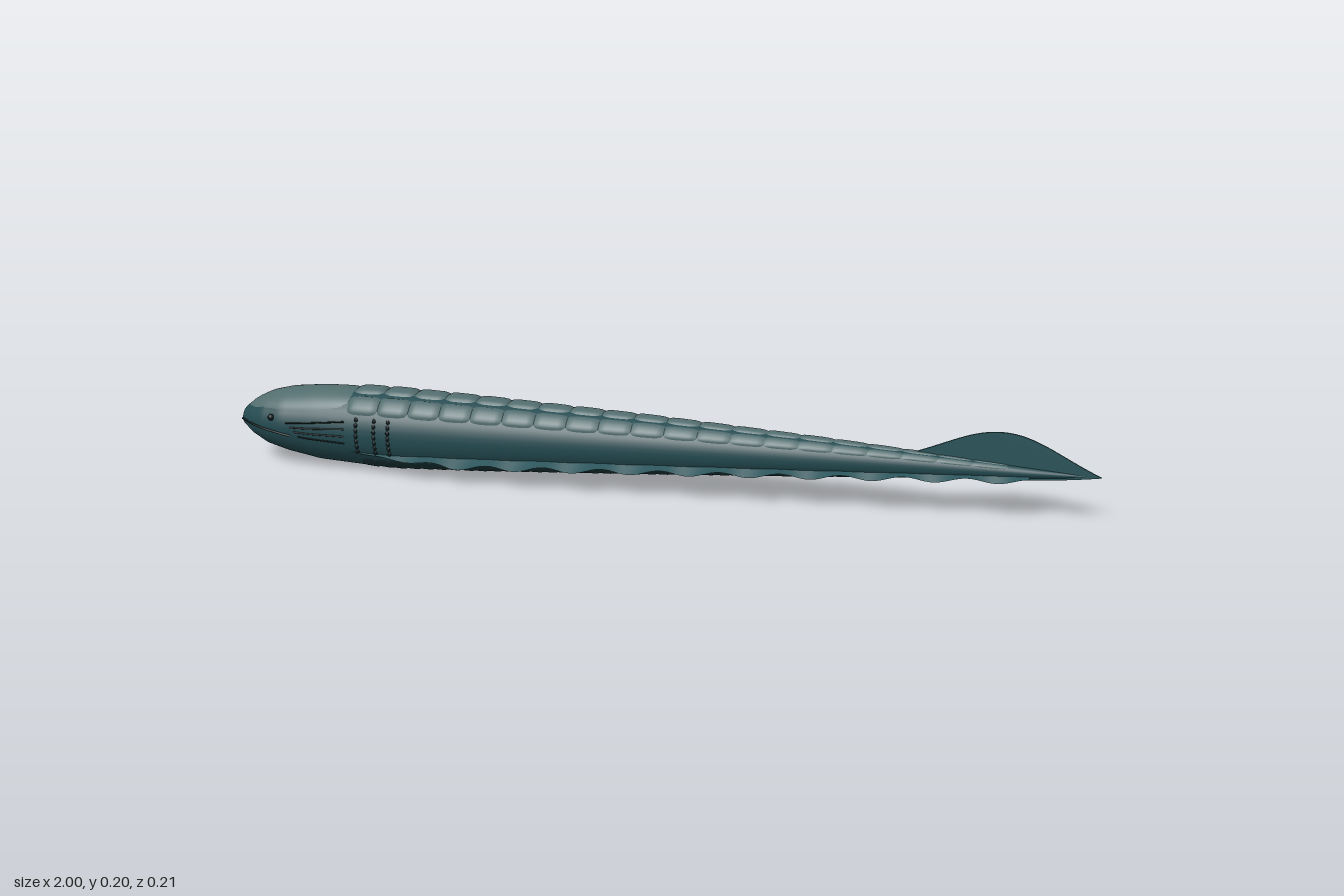
import * as THREE from 'three';

const mat = (color) => new THREE.MeshStandardMaterial({ color, side: THREE.DoubleSide });
const skin = mat(0x234a50), plateMat = mat(0x526c6e), finMat = mat(0x2a545a),
  bellyMat = mat(0x1c3538), dark = mat(0x0b181b);

// Body profile: x, top y, bottom y, half width
const profile = [
  [-1, 0.108, 0.104, 0.002], [-0.998, 0.13, 0.085, 0.033], [-0.97, 0.152, 0.062, 0.054],
  [-0.93, 0.17, 0.042, 0.073], [-0.88, 0.182, 0.029, 0.084], [-0.8, 0.19, 0.014, 0.087],
  [-0.68, 0.194, 0.008, 0.09], [-0.6, 0.194, 0.007, 0.091], [-0.4, 0.188, 0.016, 0.083],
  [0, 0.173, 0.04, 0.065], [0.4, 0.152, 0.066, 0.043], [0.6, 0.139, 0.08, 0.03],
  [0.85, 0.121, 0.097, 0.013], [0.97, 0.112, 0.108, 0.002],
];

function section(x) {
  let i = 0;
  while (i < profile.length - 2 && x > profile[i + 1][0]) i++;
  const a = profile[i], b = profile[i + 1];
  const t = THREE.MathUtils.clamp((x - a[0]) / (b[0] - a[0]), 0, 1);
  const [top, bottom, rz] = [1, 2, 3].map((k) => a[k] + (b[k] - a[k]) * t);
  return { yc: (top + bottom) / 2, ry: (top - bottom) / 2, rz };
}

// Point on the body; angle runs from the top (0) towards +z, scale pushes outwards
function onBody(x, angle, scale = 1, extra = 0) {
  const s = section(x);
  return new THREE.Vector3(x, s.yc + Math.cos(angle) * (s.ry * scale + extra),
    Math.sin(angle) * (s.rz * scale + extra));
}

// Grid surface from a rule (u, v) -> point
function grid(nu, nv, rule) {
  const pos = [], idx = [];
  for (let i = 0; i <= nu; i++) {
    for (let j = 0; j <= nv; j++) {
      pos.push(...rule(i / nu, j / nv).toArray());
      if (i < nu && j < nv) {
        const a = i * (nv + 1) + j, b = a + nv + 1;
        idx.push(a, a + 1, b, b, a + 1, b + 1);
      }
    }
  }
  const g = new THREE.BufferGeometry();
  g.setAttribute('position', new THREE.Float32BufferAttribute(pos, 3));
  g.setIndex(idx);
  g.computeVertexNormals();
  return g;
}

const lerp = THREE.MathUtils.lerp;
const rad = THREE.MathUtils.degToRad;

export function createModel() {
  const model = new THREE.Group();
  const add = (name, geometry, material, parent = model) => {
    const m = new THREE.Mesh(geometry, material);
    m.name = name;
    parent.add(m);
    return m;
  };
  const group = (name) => {
    const g = new THREE.Group();
    g.name = name;
    model.add(g);
    return g;
  };

  // Long tapering body, with finer steps at the snout
  add('body', grid(120, 40, (u, v) =>
    onBody(-1 + 1.97 * Math.pow(u, 1.5), Math.PI * (1 + 2 * v))), skin);

  // Smooth shield over the top of the head
  add('headShield', grid(24, 24, (u, v) => {
    const edge = (1 - Math.pow(Math.abs(2 * v - 1), 6)) * (1 - Math.pow(Math.abs(2 * u - 1), 8));
    const spread = rad(48 + 14 * Math.sin(Math.PI * u));
    return onBody(lerp(-0.985, -0.7, u), lerp(-spread, spread, v), 0.98 + 0.055 * edge);
  }), plateMat);

  // Three rows of domed back plates
  const plates = group('backPlates');
  const count = 20;
  for (const [centre, half] of [[0, 22], [42, 18], [-42, 18]]) {
    for (let i = 0; i < count; i++) {
      const x0 = lerp(-0.71, 0.8, i / count), x1 = x0 + 0.082;
      add('backPlate', grid(8, 10, (u, v) => {
        const across = 2 * v - 1;
        const narrow = 1 - 0.3 * Math.pow(Math.abs(2 * u - 1), 4);
        const dome = (1 - across ** 4) * (1 - Math.pow(Math.abs(2 * u - 1), 6));
        return onBody(lerp(x0, x1, u), rad(centre + half * narrow * across), 0.98 + 0.085 * dome);
      }), plateMat, plates);
    }
  }

  // Ribbed belly: stepped bands
  const bands = 44;
  add('ribbedBelly', grid(bands * 4, 20, (u, v) => {
    const step = (u * bands) % 1;
    const rim = 1 - Math.pow(Math.abs(2 * v - 1), 6);
    return onBody(lerp(-0.68, 0.8, u), rad(lerp(125, 235, v)), 0.985 + rim * (0.02 + 0.025 * step));
  }), bellyMat);

  for (const side of [1, -1]) {
    const label = side > 0 ? 'front' : 'back';

    // Wavy ribbon fin low along the flank
    add(label + 'RibbonFin', grid(140, 6, (u, v) => {
      const x = lerp(-0.7, 0.85, u);
      const wave = x * Math.PI * 2 / 0.135;
      const width = (0.036 - 0.018 * u) * Math.min(1, u * 6) * (0.9 + 0.14 * Math.cos(wave));
      const p = onBody(x, side * rad(117), lerp(0.92, 1, v), width * v);
      p.y += 0.005 * v * Math.sin(wave) * Math.min(1, u * 6);
      return p;
    }), finMat);

    // Rows of gill pores
    const gills = group(label + 'Gills');
    for (const x of [-0.68, -0.635, -0.6]) {
      for (let k = 0; k < 7; k++) {
        const pore = add('gillPore', new THREE.SphereGeometry(0.006, 10, 8), dark, gills);
        pore.position.copy(onBody(x, side * rad(66 + k * 8)));
        pore.scale.set(0.8, 1, 0.4);
      }
    }

    // Eye
    const eye = add(label + 'Eye', new THREE.SphereGeometry(0.008, 14, 10), dark);
    eye.position.copy(onBody(-0.9, side * rad(72)));

    // Mouth line and cheek creases
    const crease = (name, x0, x1, a0, a1, r) => {
      const pts = Array.from({ length: 9 }, (_, i) =>
        onBody(lerp(x0, x1, i / 8), side * rad(lerp(a0, a1, i / 8))));
      add(name, new THREE.TubeGeometry(new THREE.CatmullRomCurve3(pts), 24, r, 6), dark);
    };
    crease(label + 'Mouth', -0.997, -0.85, 92, 102, 0.003);
    for (let k = 0; k < 4; k++)
      crease(label + 'CheekCrease', -0.86 + k * 0.01, -0.71, 80 + k * 7, 70 + k * 11, 0.002);
  }

  // Upright tail blade
  const s = new THREE.Shape();
  s.moveTo(0.58, 0.13);
  s.bezierCurveTo(0.68, 0.165, 0.72, 0.197, 0.79, 0.196);
  s.bezierCurveTo(0.86, 0.194, 0.91, 0.15, 1, 0.11);
  s.quadraticCurveTo(0.92, 0.097, 0.83, 0.092);
  s.lineTo(0.58, 0.11);
  const blade = new THREE.ExtrudeGeometry(s, { depth: 0.005, bevelEnabled: false, curveSegments: 16 });
  add('tailFin', blade.translate(0, 0, -0.0025), finMat);

  // Rest the belly on the ground
  const box = new THREE.Box3().setFromObject(model);
  model.position.y = -box.min.y;
  return model;
}
